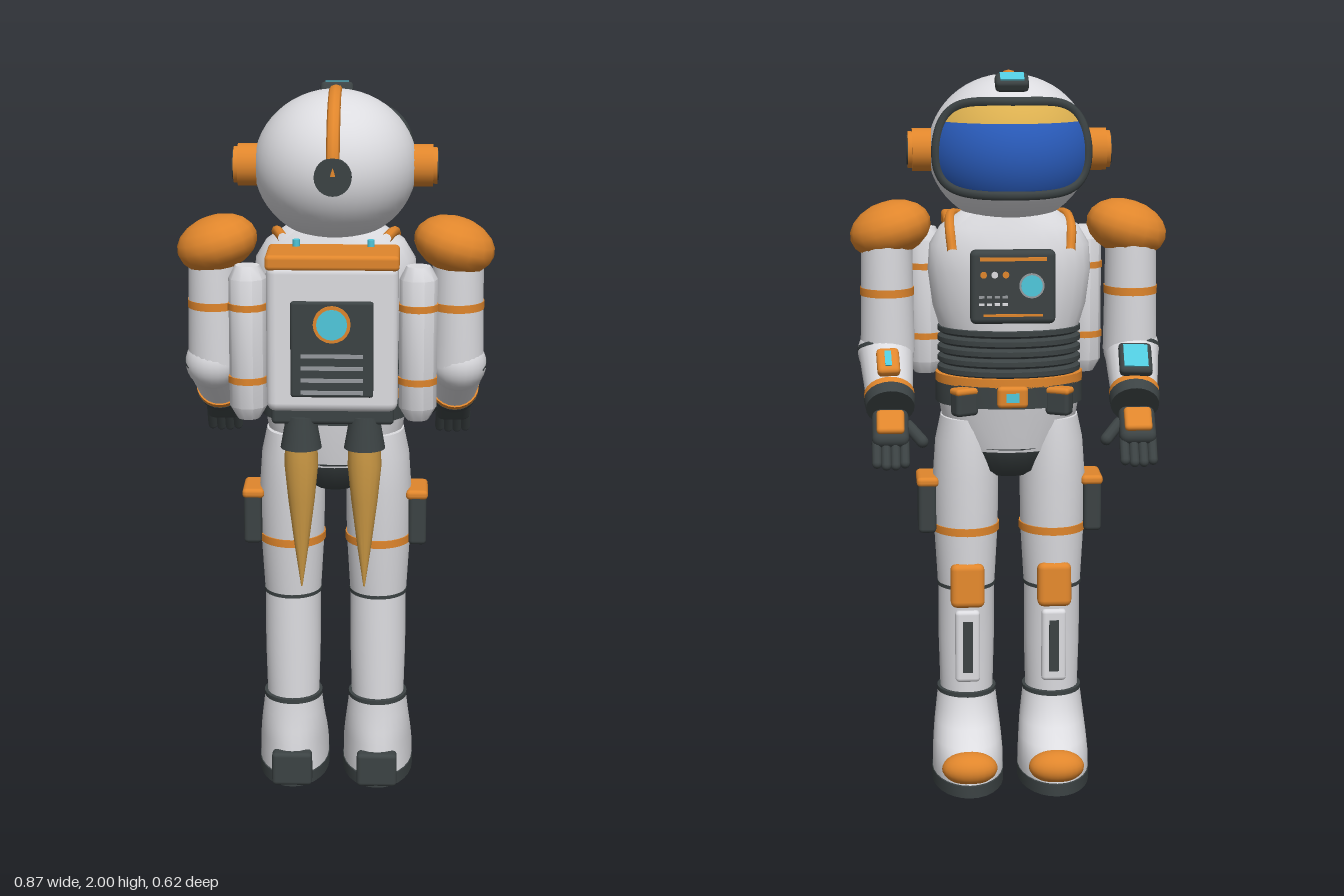
import * as THREE from 'three';
import { toCreasedNormals } from 'three/addons/utils/BufferGeometryUtils.js';
import { RoundedBoxGeometry } from 'three/addons/geometries/RoundedBoxGeometry.js';

const paint = (name, color) => Object.assign(new THREE.MeshStandardMaterial({ color }), { name });
const white = paint('suit white', 0xdcdce0), orange = paint('trim orange', 0xe0862c);
const dark = paint('rubber dark', 0x3c4344), blue = paint('visor blue', 0x2a5cbc);
const gold = paint('visor gold', 0xdcb050), flame = paint('flame gold', 0xcd9a45);
const cyan = paint('light cyan', 0x50c8dc), grey = paint('vent grey', 0x969a9e);

function add(parent, name, geo, mat, pos = [0, 0, 0], rot = [0, 0, 0]) {
  const m = new THREE.Mesh(geo, mat);
  m.name = name;
  m.position.set(...pos);
  m.rotation.set(...rot);
  parent.add(m);
  return m;
}
function addGroup(parent, name, pos = [0, 0, 0], rot = [0, 0, 0]) {
  const g = new THREE.Group();
  g.name = name;
  g.position.set(...pos);
  g.rotation.set(...rot);
  parent.add(g);
  return g;
}
const rbox = (w, h, d, r = 0.012) => new RoundedBoxGeometry(w, h, d, 2, Math.min(r, w / 2.1, h / 2.1, d / 2.1));
const box = (w, h, d) => new THREE.BoxGeometry(w, h, d);
const cyl = (r1, r2, h, n = 24) => new THREE.CylinderGeometry(r1, r2, h, n);
function ball(rx, ry, rz, w = 24, h = 16) {
  return new THREE.SphereGeometry(1, w, h).scale(rx, ry, rz);
}

// Stacked ellipses, listed upwards as [y, centre z, radius x, radius z], closed at both ends
function loft(rows, n = 28) {
  const first = rows[0], last = rows[rows.length - 1];
  const all = [[first[0], first[1], 0, 0], ...rows, [last[0], last[1], 0, 0]];
  const pos = [], idx = [];
  all.forEach(([y, cz, rx, rz], i) => {
    for (let j = 0; j < n; j++) {
      const t = j / n * Math.PI * 2, k = (j + 1) % n;
      pos.push(rx * Math.cos(t), y, cz + rz * Math.sin(t));
      if (i < all.length - 1) {
        const a = i * n + j, b = i * n + k;
        idx.push(a, a + n, b + n, a, b + n, b);
      }
    }
  });
  const g = new THREE.BufferGeometry();
  g.setAttribute('position', new THREE.Float32BufferAttribute(pos, 3));
  g.setIndex(idx);
  return toCreasedNormals(g, 0.75);
}
const hoop = (y, h, cz, rx, rz) => loft([[y - h / 2, cz, rx, rz], [y + h / 2, cz, rx, rz]]);

// Point on the visor shell; u and v run from -1 to 1
function visorPoint(u, v) {
  const az = u * 1.02 * Math.pow(Math.max(0, 1 - v ** 4), 0.25);
  const el = 0.1 + v * 0.6;
  return new THREE.Vector3(0.238 * Math.sin(az) * Math.cos(el), 1.785 + 0.217 * Math.sin(el),
    0.01 - 0.255 * Math.cos(az) * Math.cos(el));
}
function visorPatch(v0, v1) {
  const n = 24, pos = [], idx = [];
  for (let i = 0; i <= n; i++) for (let j = 0; j <= n; j++) {
    pos.push(...visorPoint(j / n * 2 - 1, v0 + (v1 - v0) * i / n).toArray());
    if (i < n && j < n) {
      const a = i * (n + 1) + j, b = a + n + 1;
      idx.push(a, b, b + 1, a, b + 1, a + 1);
    }
  }
  const g = new THREE.BufferGeometry();
  g.setAttribute('position', new THREE.Float32BufferAttribute(pos, 3));
  g.setIndex(idx);
  g.computeVertexNormals();
  return g;
}

function buildHead(root) {
  const head = addGroup(root, 'head');
  add(head, 'helmet', ball(0.222, 0.205, 0.228, 40, 28), white, [0, 1.785, 0.008]);
  add(head, 'visorGlass', visorPatch(-1, 0.5), blue);
  add(head, 'visorReflection', visorPatch(0.5, 1), gold);
  // Rim follows the rounded outline of the glass
  const rim = [];
  for (let i = 0; i < 48; i++) {
    const t = i / 48 * Math.PI * 2;
    const v = Math.sign(Math.sin(t)) * Math.sqrt(Math.abs(Math.sin(t)));
    rim.push(visorPoint(Math.sign(Math.cos(t)), v));
  }
  add(head, 'visorRim', new THREE.TubeGeometry(new THREE.CatmullRomCurve3(rim, true), 96, 0.014, 8, true), dark);
  // Crest from the forehead to the rear disc
  const arc = [];
  for (let i = 0; i <= 16; i++) {
    const t = 1.97 - i / 16 * 1.95;
    arc.push(new THREE.Vector3(0, 1.785 + 0.203 * Math.sin(t), 0.008 + 0.228 * Math.cos(t)));
  }
  const crest = new THREE.TubeGeometry(new THREE.CatmullRomCurve3(arc), 40, 0.012, 8).scale(1.5, 1, 1);
  add(head, 'crest', crest, orange);
  add(head, 'rearDisc', cyl(0.05, 0.05, 0.03), dark, [0, 1.787, 0.231], [Math.PI / 2, 0, 0]);
  const lamp = addGroup(head, 'headLamp', [0, 1.972, -0.116], [-0.5, 0, 0]);
  add(lamp, 'lampCase', rbox(0.09, 0.035, 0.055), dark);
  add(lamp, 'lampLens', box(0.064, 0.008, 0.036), cyan, [0, 0.017, 0]);
  for (const s of [-1, 1]) {
    add(head, 'earCup', cyl(0.058, 0.058, 0.06), orange, [s * 0.235, 1.785, 0.01], [0, 0, Math.PI / 2]);
    add(head, 'earRing', cyl(0.05, 0.05, 0.025), orange, [s * 0.264, 1.785, 0.01], [0, 0, Math.PI / 2]);
    add(head, 'earPad', cyl(0.04, 0.04, 0.02), dark, [s * 0.27, 1.785, 0.01], [0, 0, Math.PI / 2]);
  }
}

function buildTorso(root) {
  const torso = addGroup(root, 'torso');
  add(torso, 'chest', loft([[1.29, 0, 0.19, 0.135], [1.36, 0, 0.212, 0.145], [1.46, 0, 0.225, 0.15],
    [1.53, 0, 0.22, 0.14], [1.58, 0, 0.19, 0.125], [1.62, 0, 0.13, 0.11]]), white);
  const ribs = [];
  for (let i = 0; i < 5; i++) for (const [dy, d] of [[0, -0.008], [0.007, 0.004], [0.02, 0.004], [0.027, -0.008]])
    ribs.push([1.17 + i * 0.028 + dy, 0.005, 0.195 + d, 0.142 + d]);
  add(torso, 'ribbedWaist', loft(ribs), dark);
  add(torso, 'belt', hoop(1.12, 0.06, 0.005, 0.205, 0.155), dark);
  add(torso, 'beltTrim', hoop(1.16, 0.025, 0.005, 0.205, 0.155), orange);
  add(torso, 'hips', loft([[0.96, 0.01, 0.155, 0.12], [1.03, 0.008, 0.185, 0.135], [1.1, 0.005, 0.197, 0.148]]), white);
  add(torso, 'crotch', loft([[0.88, 0.01, 0.06, 0.06], [0.9, 0.01, 0.105, 0.095], [0.97, 0.01, 0.157, 0.123]]), dark);
  // Buckle and belt pouches
  add(torso, 'buckle', rbox(0.085, 0.06, 0.025), orange, [0, 1.125, -0.155]);
  add(torso, 'buckleLight', box(0.035, 0.025, 0.008), cyan, [0, 1.125, -0.167]);
  for (const s of [-1, 1]) {
    add(torso, 'beltPouch', rbox(0.07, 0.07, 0.045), dark, [s * 0.13, 1.105, -0.125], [0, s * 0.5, 0]);
    add(torso, 'pouchFlap', rbox(0.073, 0.02, 0.048), orange, [s * 0.13, 1.138, -0.125], [0, s * 0.5, 0]);
    const strap = new THREE.CatmullRomCurve3([[0.14, 1.6, 0.1], [0.16, 1.605, 0.02], [0.165, 1.575, -0.07], [0.16, 1.52, -0.1]]
      .map(([x, y, z]) => new THREE.Vector3(s * x, y, z)));
    add(torso, 'strap', new THREE.TubeGeometry(strap, 20, 0.014, 8), orange);
  }
  // Chest control panel
  const panel = addGroup(torso, 'chestPanel', [0, 1.43, -0.157]);
  add(panel, 'panelCase', rbox(0.23, 0.2, 0.045, 0.015), dark);
  add(panel, 'panelStripe', box(0.18, 0.01, 0.006), orange, [0, 0.077, -0.023]);
  add(panel, 'gaugeRing', cyl(0.034, 0.034, 0.006), grey, [-0.05, 0.005, -0.023], [Math.PI / 2, 0, 0]);
  add(panel, 'gauge', cyl(0.029, 0.029, 0.009), cyan, [-0.05, 0.005, -0.024], [Math.PI / 2, 0, 0]);
  [orange, white, orange].forEach((m, i) =>
    add(panel, 'button', cyl(0.009, 0.009, 0.009, 12), m, [0.08 - i * 0.03, 0.035, -0.024], [Math.PI / 2, 0, 0]));
  for (let r = 0; r < 2; r++) for (let i = 0; i < 4; i++)
    add(panel, 'key', box(0.014, 0.007, 0.006), r ? white : grey, [0.085 - i * 0.021, -0.025 - r * 0.02, -0.023]);
  add(panel, 'lowerStripe', box(0.16, 0.007, 0.006), orange, [0, -0.075, -0.023]);
}

function buildBackpack(root) {
  const pack = addGroup(root, 'backpack');
  add(pack, 'packBody', rbox(0.35, 0.4, 0.18, 0.025), white, [0, 1.365, 0.215]);
  add(pack, 'packLid', rbox(0.355, 0.042, 0.178), orange, [0, 1.57, 0.217]);
  add(pack, 'rearPanel', rbox(0.22, 0.26, 0.02, 0.008), dark, [0, 1.34, 0.306]);
  add(pack, 'dialRing', cyl(0.05, 0.05, 0.008, 20), orange, [0, 1.41, 0.318], [Math.PI / 2, 0, 0]);
  add(pack, 'dial', cyl(0.041, 0.041, 0.009, 20), cyan, [0, 1.41, 0.32], [Math.PI / 2, 0, 0]);
  for (let i = 0; i < 4; i++) add(pack, 'ventSlat', box(0.165, 0.01, 0.008), grey, [0, 1.225 + i * 0.033, 0.317]);
  add(pack, 'packBase', rbox(0.33, 0.06, 0.12), dark, [0, 1.15, 0.2]);
  for (const s of [-1, 1]) {
    add(pack, 'lidLight', cyl(0.01, 0.01, 0.025, 10), cyan, [s * 0.1, 1.597, 0.17]);
    // Side tank
    const tank = addGroup(pack, 'tank', [s * 0.228, 0, 0.223]);
    add(tank, 'tankBody', loft([[1.13, 0, 0.03, 0.03], [1.165, 0, 0.051, 0.051], [1.515, 0, 0.051, 0.051],
      [1.55, 0, 0.033, 0.033]], 10), white);
    for (const y of [1.24, 1.44]) add(tank, 'tankBand', cyl(0.055, 0.055, 0.018, 10), orange, [0, y, 0]);
    // Thruster and its flame
    add(pack, 'nozzle', cyl(0.04, 0.056, 0.09), dark, [s * 0.086, 1.095, 0.23]);
    add(pack, 'flame', loft([[0.65, 0, 0.002, 0.002], [0.76, 0, 0.018, 0.018], [0.9, 0, 0.036, 0.036],
      [1, 0, 0.046, 0.046], [1.06, 0, 0.044, 0.044]], 16), flame, [s * 0.086, 0, 0.23]);
  }
}

function buildArm(root, s) {
  const arm = addGroup(root, s > 0 ? 'leftArm' : 'rightArm');
  add(arm, 'shoulderPad', ball(0.114, 0.077, 0.11, 16, 10), orange, [s * 0.326, 1.568, 0.012], [0, 0, -s * 0.3]);
  const upper = addGroup(arm, 'upperArm', [s * 0.337, 0, 0]);
  add(upper, 'upperSleeve', loft([[1.23, 0, 0.075, 0.075], [1.4, 0, 0.072, 0.08], [1.55, 0, 0.07, 0.08]]), white);
  add(upper, 'armBand', hoop(1.4, 0.022, 0, 0.074, 0.082), orange);
  add(arm, 'elbow', ball(0.078, 0.078, 0.078), white, [s * 0.342, 1.23, 0]);
  add(arm, 'elbowSeam', cyl(0.0785, 0.0785, 0.01), dark, [s * 0.342, 1.235, 0], [0.45, 0, 0]);

  // Forearm points along local -z
  const fore = addGroup(arm, 'forearm', [s * 0.342, 1.23, 0], [-0.63, s * 0.04, 0]);
  add(fore, 'foreSleeve', cyl(0.076, 0.063, 0.19), white, [0, 0, -0.09], [Math.PI / 2, 0, 0]);
  add(fore, 'wristBand', cyl(0.069, 0.069, 0.018), orange, [0, 0, -0.172], [Math.PI / 2, 0, 0]);
  add(fore, 'gloveCuff', cyl(0.07, 0.066, 0.032), dark, [0, 0, -0.198], [Math.PI / 2, 0, 0]);
  const wide = s < 0;
  add(fore, 'wristDevice', rbox(wide ? 0.09 : 0.062, 0.03, wide ? 0.11 : 0.09), wide ? dark : orange, [0, 0.075, -0.115]);
  add(fore, 'wristScreen', box(wide ? 0.066 : 0.018, 0.008, wide ? 0.082 : 0.055), cyan, [0, 0.089, -0.115]);

  const hand = addGroup(arm, 'hand', [s * 0.334, 1.1, -0.18], [-0.87, 0, 0]);
  add(hand, 'palm', rbox(0.1, 0.055, 0.11, 0.022), dark, [0, 0, -0.06]);
  add(hand, 'handPlate', rbox(0.075, 0.022, 0.07), orange, [0, 0.032, -0.055]);
  for (let i = 0; i < 4; i++)
    add(hand, 'finger', new THREE.CapsuleGeometry(0.0135, 0.06, 4, 10), dark,
      [(i - 1.5) * 0.025, -0.006, -0.138 + Math.abs(i - 1.5) * 0.006], [Math.PI / 2 - 0.15, 0, 0]);
  add(hand, 'thumb', new THREE.CapsuleGeometry(0.017, 0.06, 4, 10), dark, [-s * 0.067, -0.005, -0.072],
    [-Math.PI / 2, 0, s * 0.65]);
}

function buildLeg(root, s) {
  const leg = addGroup(root, s > 0 ? 'leftLeg' : 'rightLeg', [s * 0.122, 0, 0]);
  add(leg, 'thigh', loft([[0.56, 0, 0.08, 0.087], [0.73, 0.005, 0.09, 0.102], [0.88, 0.008, 0.092, 0.112],
    [0.98, 0.01, 0.085, 0.115], [1.05, 0.01, 0.07, 0.11]]), white);
  add(leg, 'thighBand', hoop(0.73, 0.022, 0.005, 0.094, 0.106), orange);
  add(leg, 'kneeSeam', hoop(0.565, 0.01, 0, 0.082, 0.089), dark);
  add(leg, 'shin', loft([[0.22, 0.01, 0.074, 0.08], [0.4, 0.008, 0.079, 0.08], [0.57, 0, 0.079, 0.085]]), white);
  add(leg, 'kneePad', rbox(0.095, 0.125, 0.05, 0.018), orange, [0, 0.575, -0.084], [0.08, 0, 0]);
  add(leg, 'shinPlate', rbox(0.07, 0.21, 0.03), white, [0, 0.395, -0.075]);
  add(leg, 'shinInset', box(0.028, 0.15, 0.008), dark, [0, 0.395, -0.088]);
  // Thigh pouch on the outer side
  add(leg, 'thighPouch', rbox(0.05, 0.15, 0.125), dark, [s * 0.11, 0.793, 0.01]);
  add(leg, 'thighPouchFlap', rbox(0.062, 0.028, 0.132), orange, [s * 0.108, 0.865, 0.01]);
  // Boot
  add(leg, 'boot', loft([[0.03, -0.05, 0.1, 0.175], [0.08, -0.05, 0.1, 0.17], [0.12, -0.03, 0.097, 0.146],
    [0.16, -0.006, 0.093, 0.117], [0.2, 0.005, 0.088, 0.1], [0.25, 0.01, 0.082, 0.092]]), white);
  add(leg, 'bootCuff', hoop(0.25, 0.012, 0.01, 0.084, 0.094), dark);
  add(leg, 'sole', loft([[0, -0.05, 0.102, 0.184], [0.034, -0.05, 0.102, 0.184]]), dark);
  add(leg, 'toeCap', ball(0.078, 0.046, 0.054), orange, [0, 0.072, -0.187]);
  add(leg, 'heel', rbox(0.115, 0.1, 0.045), dark, [0, 0.053, 0.115]);
}

export function createModel() {
  const model = new THREE.Group();
  model.name = 'astronaut';
  buildHead(model);
  buildTorso(model);
  buildBackpack(model);
  for (const s of [-1, 1]) {
    buildArm(model, s);
    buildLeg(model, s);
  }
  return model;
}
